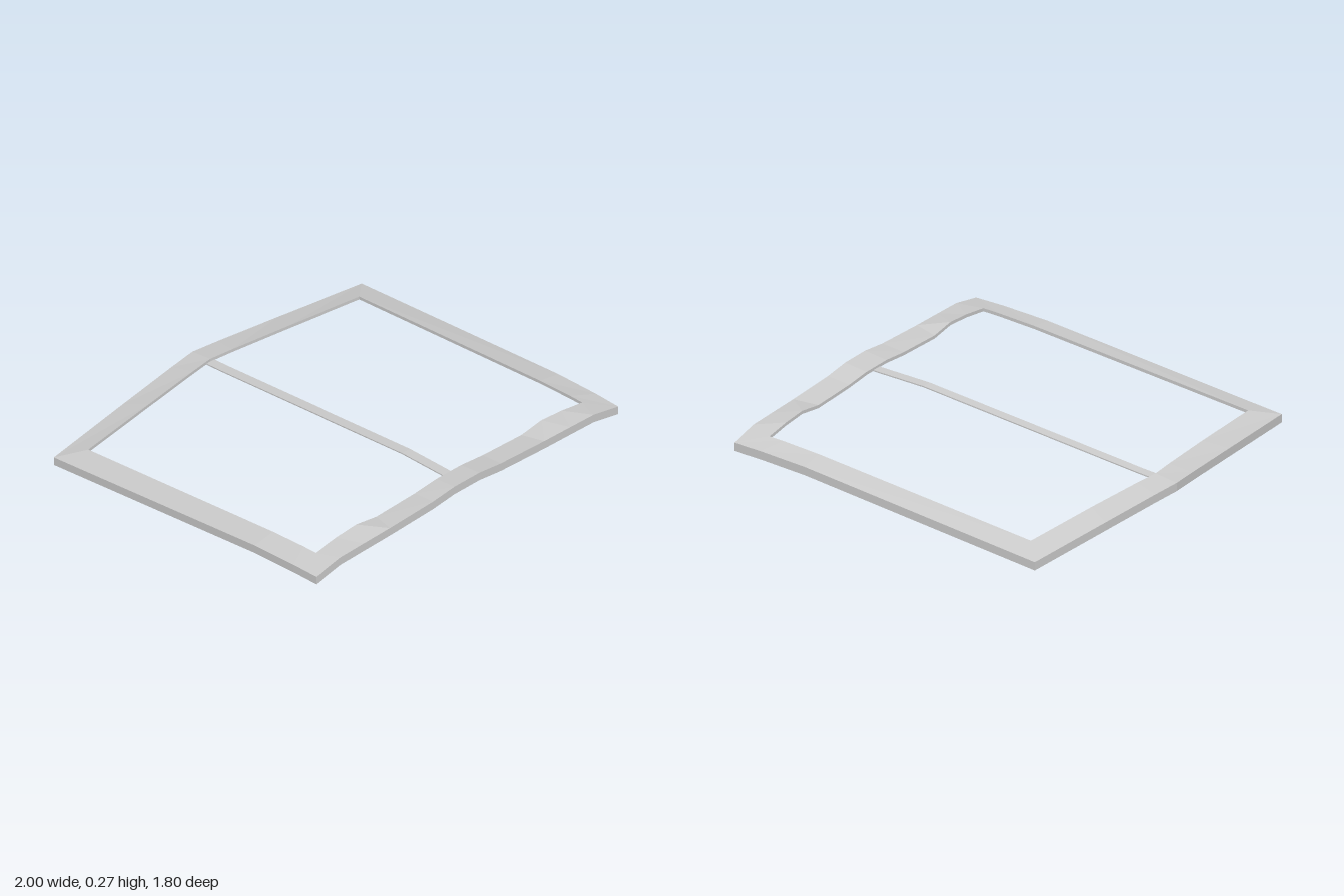
import * as THREE from 'three';

const material = new THREE.MeshStandardMaterial({
  color: 0xcccccc, flatShading: true, side: THREE.DoubleSide,
});

// Sheet channel, open below: a top face with a skirt on its outer edge and a lip on its inner edge.
// Each section is [outer x, y, z, inner x, y, z].
function rail(name, sections, side = 1, skirt = 0.042, lip = 0.016) {
  const profiles = sections.map(([ox, oy, oz, ix, iy, iz]) => [
    [ox * side, oy - skirt, oz], [ox * side, oy, oz],
    [ix * side, iy, iz], [ix * side, iy - lip, iz],
  ]);
  const pos = [];
  for (let i = 0; i < profiles.length - 1; i++) {
    for (let k = 0; k < 3; k++) {
      const a = profiles[i][k], b = profiles[i + 1][k];
      const c = profiles[i + 1][k + 1], d = profiles[i][k + 1];
      const corners = side > 0 ? [a, b, c, a, c, d] : [a, c, b, a, d, c];
      corners.forEach((p) => pos.push(...p));
    }
  }
  const geometry = new THREE.BufferGeometry();
  geometry.setAttribute('position', new THREE.Float32BufferAttribute(pos, 3));
  geometry.computeVertexNormals();
  const mesh = new THREE.Mesh(geometry, material);
  mesh.name = name;
  return mesh;
}

export function createModel() {
  const group = new THREE.Group();
  group.name = 'windowFrame';

  // Shared mitred corners
  const frontCorner = [0.98, 0.2, 0.9, 0.865, 0.22, 0.78];
  const backCorner = [1, 0.043, -0.8, 0.88, 0.08, -0.695];

  // Front rail: wavy, with a raised bump on its inner edge
  const front = [
    [0, 0.268, 0.9, 0, 0.252, 0.78],
    [0.08, 0.268, 0.9, 0.08, 0.252, 0.78],
    [0.22, 0.252, 0.9, 0.22, 0.239, 0.78],
    [0.5, 0.24, 0.9, 0.47, 0.23, 0.78],
    [0.67, 0.236, 0.9, 0.6, 0.25, 0.78],
    [0.82, 0.232, 0.9, 0.73, 0.24, 0.78],
    frontCorner,
  ];
  // Side rail: slopes down towards the back
  const sideRail = [
    frontCorner,
    [0.983, 0.197, 0.75, 0.866, 0.217, 0.7],
    [0.986, 0.183, 0.5, 0.868, 0.203, 0.5],
    backCorner,
  ];
  // Back rail: bowed towards its middle
  const back = [
    backCorner,
    [0.5, 0.072, -0.853, 0.45, 0.101, -0.738],
    [0.15, 0.091, -0.889, 0.13, 0.113, -0.772],
    [0, 0.097, -0.904, 0, 0.115, -0.786],
  ];
  for (const [label, side] of [['left', 1], ['right', -1]]) {
    group.add(rail(label + 'FrontRail', front, side));
    group.add(rail(label + 'SideRail', sideRail, side));
    group.add(rail(label + 'BackRail', back, side));
  }

  // Slim centre bar between front and back rails
  const bar = [[0.78, 0.24], [0.5, 0.232], [-0.7, 0.108], [-0.786, 0.101]];
  const barSections = bar.map(([z, y]) => [0.025, y, z, -0.025, y, z]);
  group.add(rail('centreBar', barSections, 1, 0.006, 0.006));
  return group;
}
